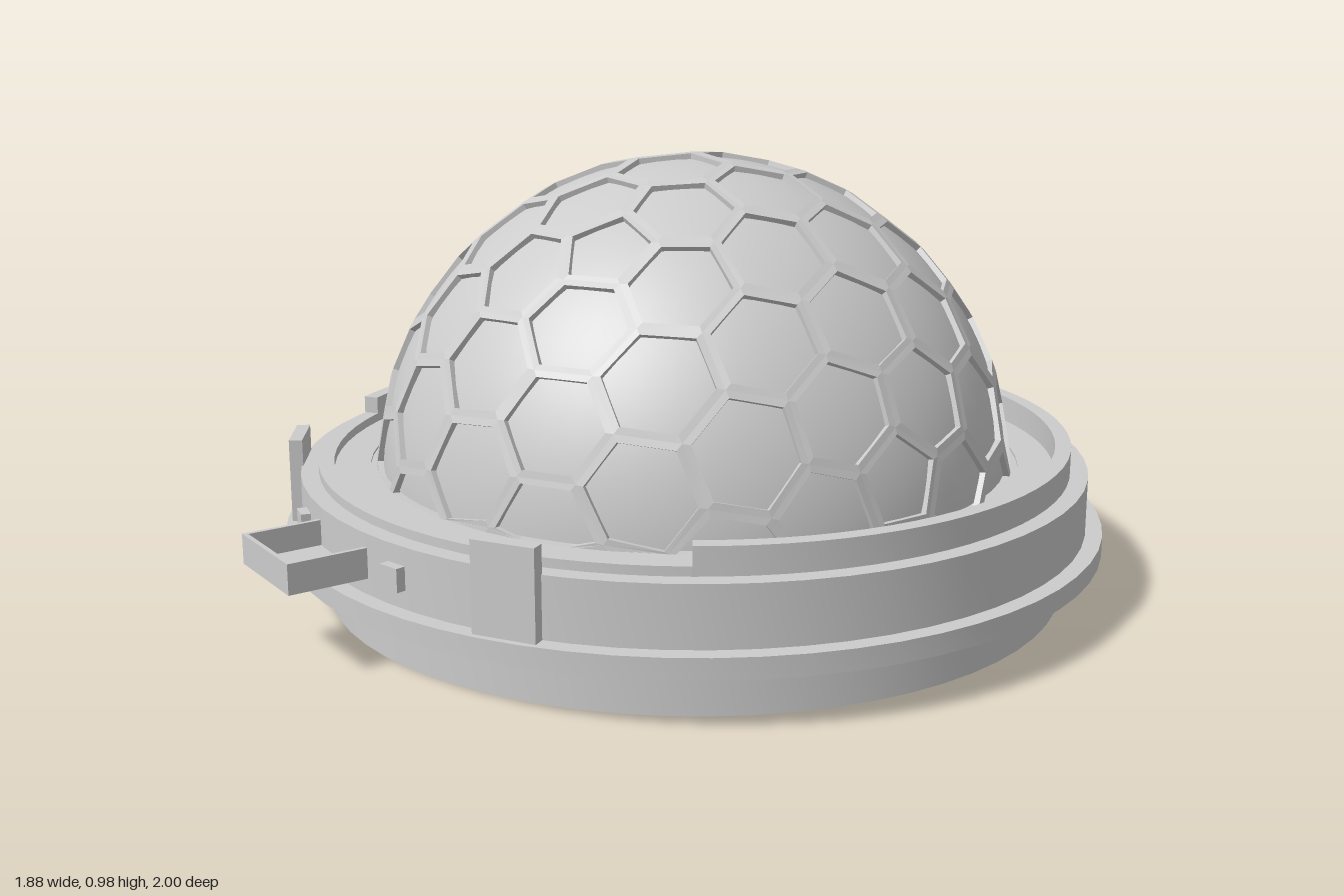
import * as THREE from 'three';
import { toCreasedNormals } from 'three/addons/utils/BufferGeometryUtils.js';

const mat = new THREE.MeshStandardMaterial({ color: 0xcccccc });
const matDouble = new THREE.MeshStandardMaterial({ color: 0xcccccc, side: THREE.DoubleSide });
const DOME_Y = 0.25, FLOOR = 0.285, OPENING = THREE.MathUtils.degToRad(54);

function add(parent, name, geometry, x = 0, y = 0, z = 0, material = mat) {
  const mesh = new THREE.Mesh(geometry, material);
  mesh.name = name;
  mesh.position.set(x, y, z);
  parent.add(mesh);
  return mesh;
}

// Sharp-edged turned solid; the profile runs up the outside and down the inside
function turned(profile, start = 0, length = Math.PI * 2, segments = 64) {
  const pts = profile.map(([r, y]) => new THREE.Vector2(r, y));
  pts.push(pts[0].clone());
  return toCreasedNormals(new THREE.LatheGeometry(pts, segments, start, length), 0.5);
}

const rect = (r0, r1, y0, y1) => [[r1, y0], [r1, y1], [r0, y1], [r0, y0]];

// Triangles of a twice-divided icosahedron, turned so one large face points up
function geodesicFaces() {
  const p = new THREE.IcosahedronGeometry(1, 0).getAttribute('position');
  const v = i => new THREE.Vector3().fromBufferAttribute(p, i);
  const up = v(0).add(v(1)).add(v(2)).normalize();
  const x = v(0).addScaledVector(up, -v(0).dot(up)).normalize().negate();
  const turn = new THREE.Matrix4().makeBasis(x, up, x.clone().cross(up)).transpose();
  let faces = [];
  for (let i = 0; i < p.count; i += 3) {
    faces.push([0, 1, 2].map(k => v(i + k).applyMatrix4(turn)));
  }
  const mid = (a, b) => a.clone().add(b).normalize();
  for (let n = 0; n < 2; n++) {
    faces = faces.flatMap(([a, b, c]) => {
      const ab = mid(a, b), bc = mid(b, c), ca = mid(c, a);
      return [[a, ab, ca], [ab, b, bc], [ca, bc, c], [ab, bc, ca]];
    });
  }
  return faces;
}

// Raised honeycomb ribs: a rim with inner walls around every geodesic vertex
function honeycomb(top, bottom, inset) {
  const cells = new Map();
  for (const face of geodesicFaces()) {
    const centre = face[0].clone().add(face[1]).add(face[2]).normalize();
    for (const n of face) {
      const key = n.toArray().map(c => Math.round(c * 1000) + 0).join();
      if (!cells.has(key)) cells.set(key, { n, ring: [] });
      cells.get(key).ring.push(centre);
    }
  }
  const out = [];
  const quad = (a, b, c, d) => [a, b, c, a, c, d].forEach(q => out.push(q.x, q.y, q.z));
  // keep the ribs above the floor of the base
  const place = (q, r) => {
    const s = q.clone().normalize();
    s.y = Math.max(s.y, 0.045);
    return s.normalize().multiplyScalar(r);
  };
  for (const { n, ring } of cells.values()) {
    if (n.y < -0.1) continue;
    const u = ring[0].clone().addScaledVector(n, -ring[0].dot(n)).normalize();
    const w = n.clone().cross(u);
    const angle = q => Math.atan2(q.dot(w), q.dot(u));
    ring.sort((a, b) => angle(a) - angle(b));
    const inner = ring.map(q => q.clone().lerp(n, inset));
    ring.forEach((q, i) => {
      const j = (i + 1) % ring.length;
      const i0 = place(inner[i], top), i1 = place(inner[j], top);
      quad(place(q, top), place(ring[j], top), i1, i0);
      quad(i0, i1, place(inner[j], bottom), place(inner[i], bottom));
    });
  }
  const g = new THREE.BufferGeometry();
  g.setAttribute('position', new THREE.Float32BufferAttribute(out, 3));
  g.computeVertexNormals();
  return g;
}

export function createModel() {
  const model = new THREE.Group();
  model.name = 'honeycombDome';
  const body = new THREE.Group();
  body.name = 'body';
  body.position.z = -0.0625;
  model.add(body);

  // Hollow stepped base with a floor around the dome
  add(body, 'base', turned([
    [0.85, 0], [0.85, 0.11], [0.9375, 0.11], [0.9375, 0.155], [0.9, 0.155], [0.9, FLOOR],
    [0.745, FLOOR], [0.745, 0.265], [0.81, 0.265], [0.81, 0.11], [0.83, 0.11], [0.83, 0],
  ]));

  // Upper rim, cut down to a low lip at the front
  add(body, 'upperRim', turned(rect(0.825, 0.86, FLOOR, 0.345), OPENING, 2 * (Math.PI - OPENING)));
  add(body, 'frontLip', turned(rect(0.825, 0.86, FLOOR, 0.305), -OPENING, 2 * OPENING, 24));
  for (const side of [-1, 1]) {
    const a = side * OPENING;
    const end = add(body, 'rimEnd', new THREE.PlaneGeometry(0.035, 0.06),
      0.8425 * Math.sin(a), 0.315, 0.8425 * Math.cos(a), matDouble);
    end.rotation.y = a + Math.PI / 2;
  }

  // Dome with raised ribs, closed below
  add(body, 'dome', new THREE.SphereGeometry(0.718, 64, 24, 0, Math.PI * 2, 0, Math.PI / 2 - 0.05), 0, DOME_Y);
  add(body, 'domeRibs', honeycomb(0.731, 0.71, 0.13), 0, DOME_Y);
  const disc = add(body, 'domeFloor', new THREE.CircleGeometry(0.75, 64), 0, 0.28, 0, matDouble);
  disc.rotation.x = Math.PI / 2;

  // Front clips and small studs that pass through the wall
  for (const side of [-1, 1]) {
    const a = side * 0.546;
    const clip = add(body, 'clip', new THREE.BoxGeometry(0.137, 0.19, 0.03),
      0.908 * Math.sin(a), 0.25, 0.908 * Math.cos(a));
    clip.rotation.y = a;
    const b = side * 0.235;
    const stud = add(body, 'stud', new THREE.BoxGeometry(0.05, 0.05, 0.13),
      0.855 * Math.sin(b), 0.22, 0.855 * Math.cos(b));
    stud.rotation.y = b;
  }

  // Open tray on the front
  const tray = new THREE.Group();
  tray.name = 'frontTray';
  tray.position.set(0, 0.222, 0.9675);
  body.add(tray);
  add(tray, 'trayFloor', new THREE.BoxGeometry(0.23, 0.01, 0.19), 0, -0.0275, 0);
  add(tray, 'trayFront', new THREE.BoxGeometry(0.23, 0.065, 0.01), 0, 0, 0.09);
  for (const side of [-1, 1]) {
    add(tray, 'traySide', new THREE.BoxGeometry(0.01, 0.065, 0.19), side * 0.11, 0, 0);
  }
  return model;
}
